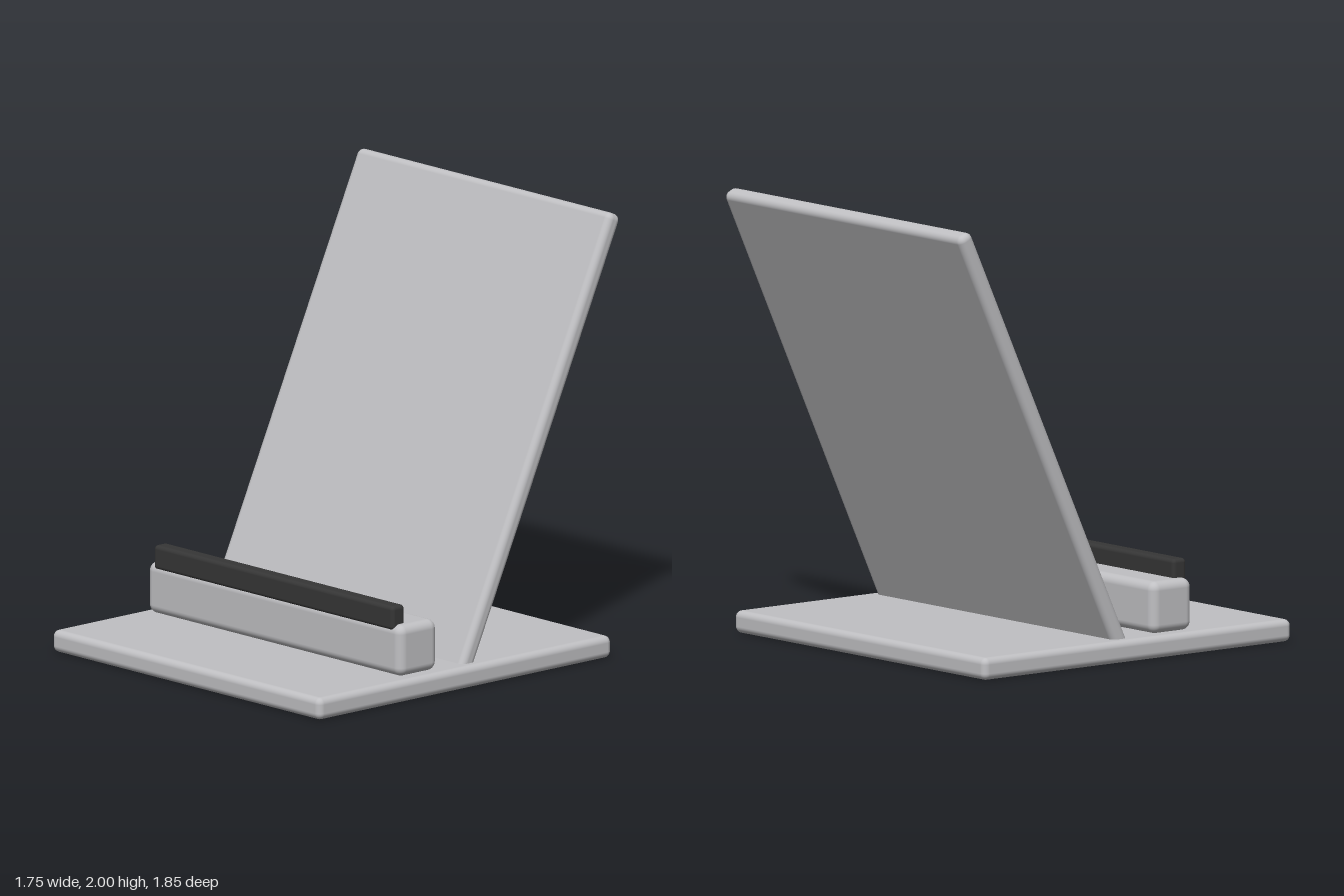
import * as THREE from 'three';
import { RoundedBoxGeometry } from 'three/addons/geometries/RoundedBoxGeometry.js';

export function createModel() {
  const group = new THREE.Group();
  group.name = 'tabletStand';

  const silver = new THREE.MeshStandardMaterial({ color: 0xc0c0c3 });
  silver.name = 'silver';
  const rubber = new THREE.MeshStandardMaterial({ color: 0x363636 });
  rubber.name = 'blackRubber';

  // Rounded slab from its size, centre and edge radius
  function slab(name, material, [w, h, d], [x, y, z], radius) {
    const mesh = new THREE.Mesh(new RoundedBoxGeometry(w, h, d, 5, radius), material);
    mesh.name = name;
    mesh.position.set(x, y, z);
    group.add(mesh);
    return mesh;
  }

  // Flat foot plate
  slab('base', silver, [1.755, 0.1, 1.755], [0, 0.05, 0.046], 0.03);

  // Ledge that holds the device, with a soft grip strip along its front edge
  slab('ledge', silver, [1.66, 0.232, 0.23], [0, 0.216, 0.282], 0.04);
  slab('gripStrip', rubber, [1.565, 0.11, 0.075], [0, 0.36, 0.361], 0.018);

  // Backrest leaning back 25 degrees, its foot sunk into the base
  const backrest = slab('backrest', silver, [1.66, 2.145, 0.077], [0, 1.022, -0.447], 0.03);
  backrest.rotation.x = THREE.MathUtils.degToRad(-25);

  return group;
}
